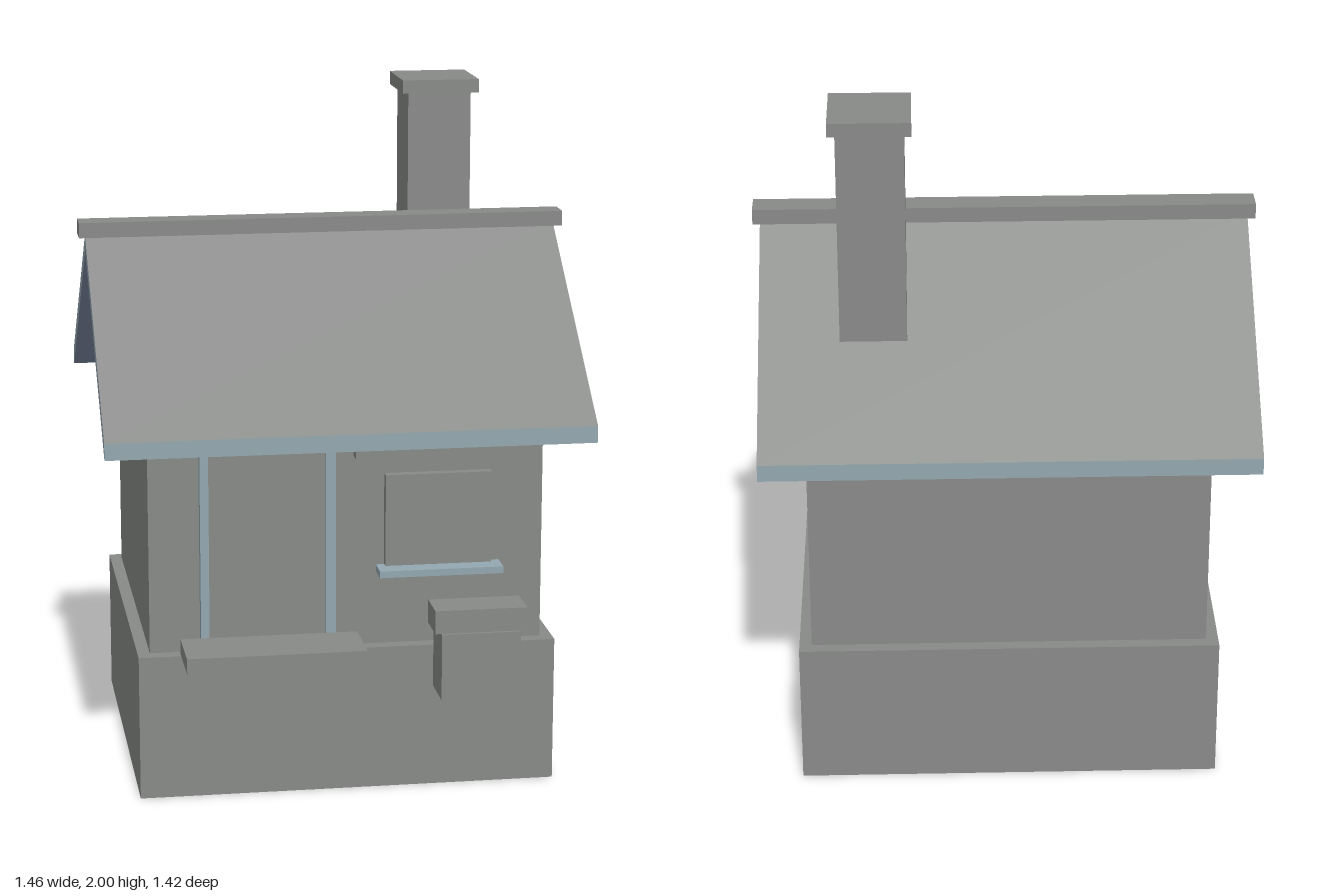
import * as THREE from 'three';

const grey = new THREE.MeshStandardMaterial({ color: 0x888a88, side: THREE.DoubleSide });
grey.name = 'stone grey';
const trim = new THREE.MeshStandardMaterial({ color: 0x93a7b0 });
trim.name = 'pale blue trim';
const slate = new THREE.MeshStandardMaterial({ color: 0x7b86a0 });
slate.name = 'slate blue';

const RIDGE_Z = -0.08;

// Box given by its minimum and maximum on each axis
function box(name, material, [x0, x1], [y0, y1], [z0, z1]) {
  const geo = new THREE.BoxGeometry(x1 - x0, y1 - y0, z1 - z0);
  const mesh = new THREE.Mesh(geo, material);
  mesh.position.set((x0 + x1) / 2, (y0 + y1) / 2, (z0 + z1) / 2);
  mesh.name = name;
  return mesh;
}

// Gable-end profile, in offsets from the ridge line, extruded across the width
function acrossWidth(points, width) {
  const shape = new THREE.Shape(points.map(([u, y]) => new THREE.Vector2(u, y)));
  const geo = new THREE.ExtrudeGeometry(shape, { depth: width, bevelEnabled: false });
  geo.translate(0, 0, -width / 2).rotateY(Math.PI / 2).translate(0, 0, RIDGE_Z);
  return geo;
}

function named(name, geo, material) {
  const mesh = new THREE.Mesh(geo, material);
  mesh.name = name;
  return mesh;
}

// Foundation: a box with its underside left open
function makeFoundation() {
  const mesh = box('foundation', grey, [-0.613, 0.613], [0, 0.43], [-0.615, 0.458]);
  const index = Array.from(mesh.geometry.index.array);
  index.splice(18, 6);
  mesh.geometry.setIndex(index);
  mesh.geometry.clearGroups();
  return mesh;
}

// Roof: one folded slab with grey top, pale edges and slate underside
function makeRoof() {
  const geo = acrossWidth(
    [[-0.63, 1.045], [0, 1.528], [0.63, 1.045], [0.63, 1.095], [0, 1.577], [-0.63, 1.095]], 1.416);
  geo.clearGroups();
  const normal = geo.attributes.normal;
  for (let i = 0; i < normal.count; i += 3) {
    const ny = normal.getY(i);
    geo.addGroup(i, 3, ny > 0.1 ? 0 : ny < -0.1 ? 2 : 1);
  }
  return named('roof', geo, [grey, trim, slate]);
}

function makeDoor() {
  const door = new THREE.Group();
  door.name = 'frontDoor';
  const depth = [0.414, 0.445];
  door.add(
    box('doorPanel', grey, [-0.405, -0.065], [0.42, 1.03], [0.414, 0.442]),
    box('doorPostRight', trim, [-0.43, -0.405], [0.42, 1.05], depth),
    box('doorPostLeft', trim, [-0.065, -0.035], [0.42, 1.05], depth),
    box('doorLintel', trim, [-0.405, -0.065], [1.03, 1.05], depth));
  return door;
}

export function createModel() {
  const house = new THREE.Group();
  house.name = 'cottage';

  // Body
  house.add(makeFoundation());
  house.add(named('walls', acrossWidth(
    [[-0.497, 0.43], [0.497, 0.43], [0.497, 1.155], [0.438, 1.2], [-0.438, 1.2], [-0.497, 1.155]],
    1.154), grey));
  house.add(named('gables', acrossWidth([[-0.438, 1.2], [0.438, 1.2], [0, 1.535]], 1.154), slate));

  // Roof, ridge and chimney
  house.add(makeRoof());
  house.add(box('ridgeCap', grey, [-0.728, 0.728], [1.572, 1.617], [-0.123, -0.042]));
  house.add(box('chimney', grey, [0.285, 0.477], [1.3, 1.96], [-0.405, -0.212]));
  house.add(box('chimneyCap', grey, [0.265, 0.498], [1.96, 2], [-0.428, -0.193]));

  // Front door, step and lamp
  house.add(makeDoor());
  house.add(box('doorStep', grey, [-0.49, 0.028], [0.431, 0.477], [0.445, 0.63]));
  house.add(box('wallLamp', grey, [0.015, 0.065], [1.007, 1.083], [0.445, 0.488]));

  // Window
  house.add(box('window', grey, [0.11, 0.423], [0.67, 0.944], [0.414, 0.445]));
  house.add(box('windowSill', trim, [0.085, 0.448], [0.652, 0.672], [0.425, 0.5]));

  // Letter box
  house.add(box('letterBox', grey, [0.228, 0.456], [0.347, 0.542], [0.58, 0.714]));
  house.add(box('letterBoxLid', grey, [0.21, 0.476], [0.542, 0.61], [0.59, 0.705]));

  return house;
}
